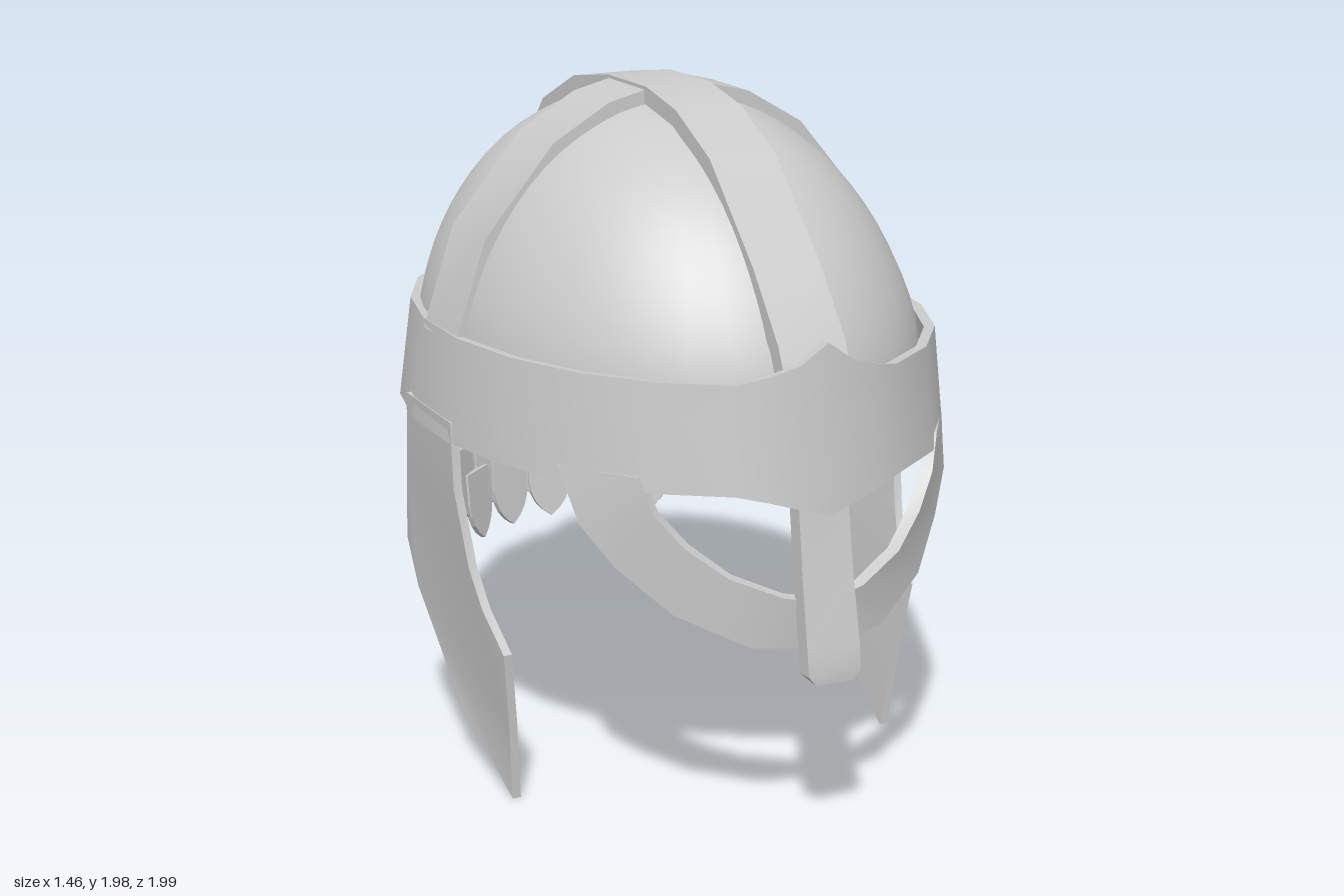
import * as THREE from 'three';
import { toCreasedNormals } from 'three/addons/utils/BufferGeometryUtils.js';

const V = (x, y, z) => new THREE.Vector3(x, y, z);
const material = new THREE.MeshStandardMaterial({ color: 0xcccccc, side: THREE.DoubleSide });

function part(name, geometry) {
  const mesh = new THREE.Mesh(geometry, material);
  mesh.name = name;
  return mesh;
}

// Solid ribbon between two edges a and b, thickened inwards
function slab(a, b, thickness, closed = false) {
  const n = a.length;
  const at = (i) => (closed ? (i + n) % n : Math.min(Math.max(i, 0), n - 1));
  const rings = a.map((p, i) => {
    const along = a[at(i + 1)].clone().add(b[at(i + 1)]).sub(a[at(i - 1)]).sub(b[at(i - 1)]);
    const inward = along.cross(p.clone().sub(b[i])).normalize().multiplyScalar(-thickness);
    return [p, b[i], b[i].clone().add(inward), p.clone().add(inward)];
  });
  const out = [];
  const quad = (p, q, r, s) => [p, q, r, p, r, s].forEach((v) => out.push(v.x, v.y, v.z));
  for (let i = 0; i < (closed ? n : n - 1); i++) {
    const r = rings[i], s = rings[at(i + 1)];
    for (let k = 0; k < 4; k++) quad(r[k], r[(k + 1) % 4], s[(k + 1) % 4], s[k]);
  }
  if (!closed) {
    quad(rings[0][3], rings[0][2], rings[0][1], rings[0][0]);
    quad(...rings[n - 1]);
  }
  const g = new THREE.BufferGeometry();
  g.setAttribute('position', new THREE.Float32BufferAttribute(out, 3));
  return toCreasedNormals(g, 0.65);
}

// Oval bowl, its crown shifted slightly backwards
function dome() {
  const side = new THREE.CatmullRomCurve3([
    [1.02, 1.06], [1, 1.34], [0.87, 1.58], [0.65, 1.78], [0.32, 1.92], [0, 1.955],
  ].map(([r, y]) => V(r, y, 0)));
  const profile = side.getPoints(20).map((p) => new THREE.Vector2(Math.max(p.x, 0), p.y));
  const g = new THREE.LatheGeometry(profile, 40);
  g.scale(0.67, 1, 0.865);
  const p = g.attributes.position;
  for (let i = 0; i < p.count; i++) {
    p.setZ(i, p.getZ(i) - 0.03 - 0.07 * Math.max(0, p.getY(i) - 1.3));
  }
  return part('dome', g);
}

// Brow band with a pointed front
function browBand() {
  const degrees = [0, 6.5, 13];
  for (let d = 20; d <= 340; d += 16) degrees.push(d);
  degrees.push(347, 353.5);
  const peaks = { 0: [0.1, 0.07], 6.5: [0.045, 0.045], 13: [0.02, 0.02] };
  const top = [], bottom = [];
  for (const d of degrees) {
    const t = THREE.MathUtils.degToRad(d);
    const [up, down] = peaks[Math.min(d, 360 - d)] || [0, 0];
    top.push(V(0.7 * Math.sin(t), 1.335 + up, -0.015 + 0.935 * Math.cos(t)));
    bottom.push(V(0.735 * Math.sin(t), 1.04 - down, -0.025 + 0.968 * Math.cos(t)));
  }
  return part('browBand', slab(top, bottom, 0.03, true));
}

// Two raised straps crossing at the crown
function straps(group) {
  const long = [
    [0.9, 1.31], [0.85, 1.42], [0.71, 1.6], [0.46, 1.85], [0.26, 1.95], [0.08, 1.987],
    [-0.16, 1.987], [-0.4, 1.95], [-0.62, 1.85], [-0.84, 1.6], [-0.94, 1.32],
  ];
  group.add(part('longStrap', slab(
    long.map(([z, y]) => V(-0.11, y, z)), long.map(([z, y]) => V(0.09, y, z)), 0.05)));
  const half = [[0.695, 1.31], [0.6, 1.6], [0.39, 1.85], [0.22, 1.95], [0.09, 1.982]];
  const cross = [...half, ...half.map(([x, y]) => [-x, y]).reverse()];
  group.add(part('crossStrap', slab(
    cross.map(([x, y]) => V(x, y, 0.07)), cross.map(([x, y]) => V(x, y, -0.16)), 0.05)));
}

// Curved guard below the eyes and the nose bar in front of it
function faceGuard(group) {
  const upper = [[0, 0.73, 0.94], [0.12, 0.75, 0.92], [0.26, 0.81, 0.87], [0.36, 0.89, 0.81], [0.43, 0.98, 0.76], [0.46, 1.08, 0.73]];
  const lower = [[0, 0.59, 0.92], [0.2, 0.61, 0.88], [0.38, 0.7, 0.78], [0.5, 0.82, 0.67], [0.57, 0.93, 0.6], [0.6, 1.08, 0.53]];
  const both = (pts) => [
    ...pts.slice(1).reverse().map(([x, y, z]) => V(-x, y, z)),
    ...pts.map(([x, y, z]) => V(x, y, z)),
  ];
  group.add(part('eyeGuard', slab(both(upper), both(lower), 0.035)));

  // y, z, half width
  const nose = [[1.04, 0.92, 0.075], [0.8, 0.955, 0.077], [0.62, 0.99, 0.08], [0.55, 1, 0.08], [0.52, 0.998, 0.055]];
  const edge = (s) => nose.map(([y, z, w]) => V(-0.01 + s * w, y, z));
  group.add(part('noseBar', slab(edge(1), edge(-1), 0.05)));
}

// Cheek plate, cut flat and then bent inwards; s is +1 for left, -1 for right
function cheekPlate(s) {
  const outline = [
    [0.1, 1.1], [0.11, 0.91], [0.16, 0.69], [0.21, 0.58], [0.3, 0.47], [0.27, 0.25], [0.245, 0.01],
    [-0.065, 0.19], [-0.35, 0.47], [-0.4, 0.61], [-0.315, 0.78], [-0.27, 0.91], [-0.25, 1.1],
  ];
  const shape = new THREE.Shape(outline.map(([z, y]) => new THREE.Vector2(-s * z, y)));
  const g = new THREE.ExtrudeGeometry(shape, { depth: 0.025, bevelEnabled: false });
  const p = g.attributes.position;
  for (let i = 0; i < p.count; i++) {
    const y = p.getY(i), z = -s * p.getX(i);
    const bend = 0.605 + 0.1 * THREE.MathUtils.smoothstep(y, -0.1, 1.0) - 0.2 * z * z;
    p.setXYZ(i, s * (bend + p.getZ(i)), y, z);
  }
  return part(s > 0 ? 'leftCheekPlate' : 'rightCheekPlate', toCreasedNormals(g, 0.6));
}

// Neck guard of overlapping pointed scales
function neckGuard() {
  const guard = new THREE.Group();
  guard.name = 'neckGuard';
  const s = new THREE.Shape();
  s.moveTo(0, 0);
  s.quadraticCurveTo(0.068, 0.04, 0.074, 0.12);
  s.lineTo(0.068, 0.22);
  s.lineTo(-0.068, 0.22);
  s.lineTo(-0.074, 0.12);
  s.quadraticCurveTo(-0.068, 0.04, 0, 0);
  const scale = new THREE.ExtrudeGeometry(s, { depth: 0.016, bevelEnabled: false, curveSegments: 4 });
  const rows = 6;
  for (let r = 0; r < rows; r++) {
    const count = 5 + r;
    const y = 0.45 + 0.085 * r;
    const rx = 0.56 + 0.2 * (y - 0.45), rz = 0.8 + 0.26 * (y - 0.45);
    const step = THREE.MathUtils.degToRad(15 - 0.42 * r);
    for (let i = 0; i < count; i++) {
      const a = (i - (count - 1) / 2) * step;
      const mesh = part('scale', scale);
      mesh.position.set(rx * Math.sin(a), y, -0.035 - rz * Math.cos(a));
      mesh.rotation.set(0.1, Math.atan2(Math.sin(a) / rx, -Math.cos(a) / rz), 0, 'YXZ');
      guard.add(mesh);
    }
  }
  return guard;
}

export function createModel() {
  const helmet = new THREE.Group();
  helmet.name = 'helmet';
  helmet.add(dome(), browBand(), cheekPlate(1), cheekPlate(-1), neckGuard());
  straps(helmet);
  faceGuard(helmet);
  return helmet;
}
